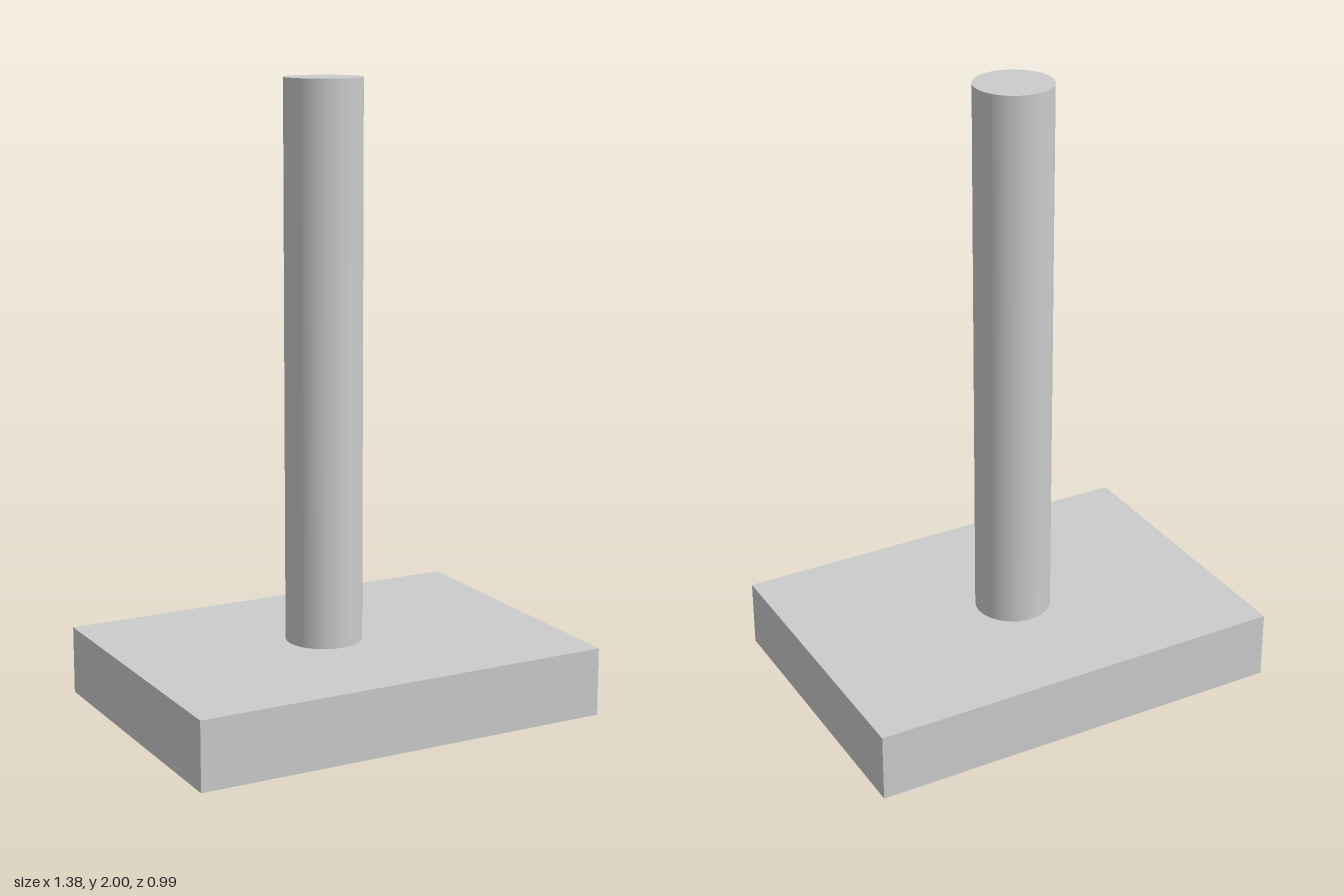
import * as THREE from 'three';

export function createModel() {
  const model = new THREE.Group();
  const material = new THREE.MeshStandardMaterial({ color: 0xcccccc });
  const baseHeight = 0.22, totalHeight = 2;

  const add = (name, geometry, x, y, z) => {
    const mesh = new THREE.Mesh(geometry, material);
    mesh.name = name;
    mesh.position.set(x, y, z);
    model.add(mesh);
  };

  // Flat rectangular base slab
  add('base', new THREE.BoxGeometry(1.382, baseHeight, 0.988), 0, baseHeight / 2, 0);

  // Round post, standing slightly off the centre of the base
  const postHeight = totalHeight - baseHeight;
  add('post', new THREE.CylinderGeometry(0.123, 0.123, postHeight, 64), -0.02, baseHeight + postHeight / 2, -0.017);

  return model;
}
